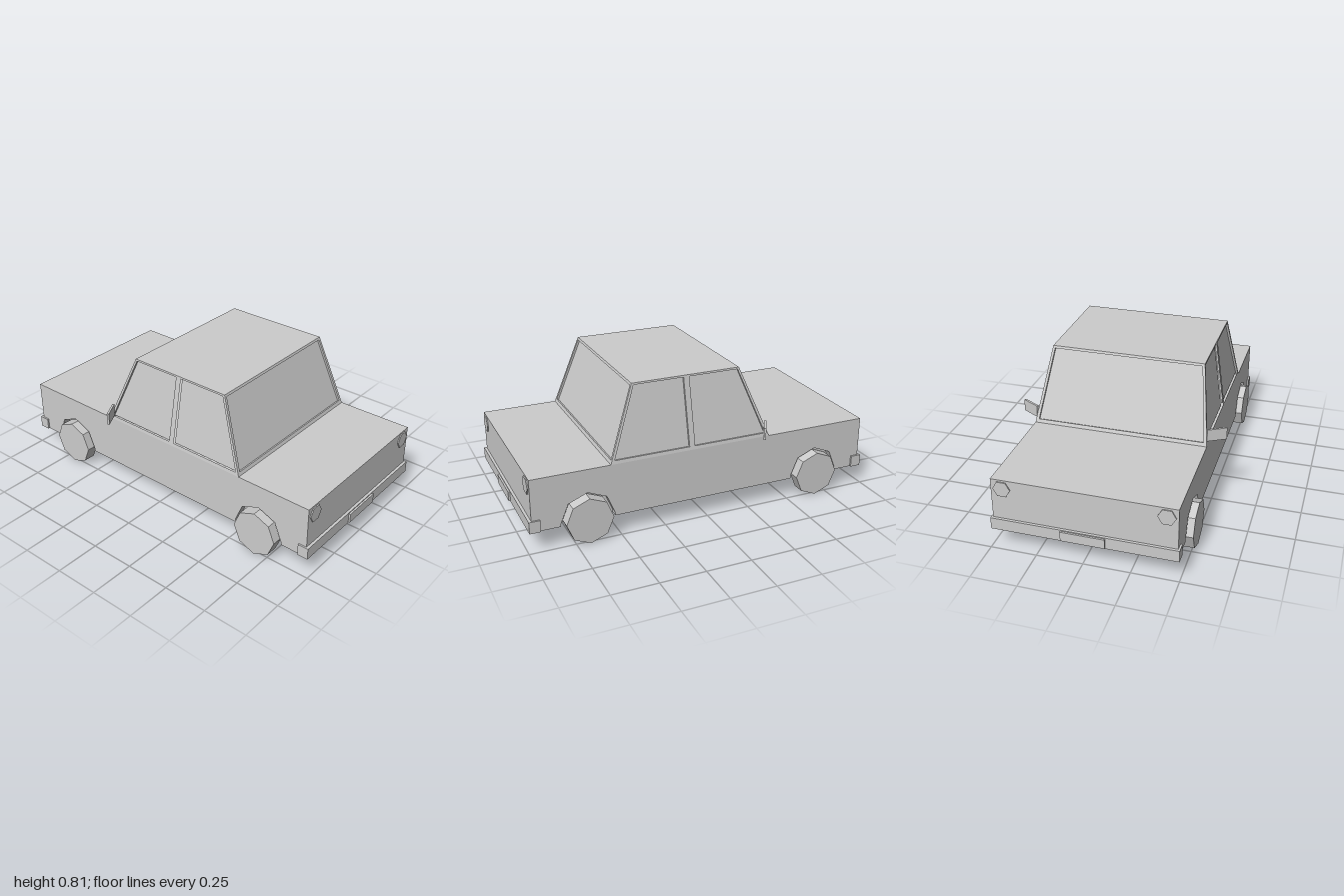
import * as THREE from 'three';

const paint = new THREE.MeshStandardMaterial({ color: 0xcccccc });
paint.name = 'plainGrey';

const V3 = (x, y, z) => new THREE.Vector3(x, y, z);

function add(parent, name, geometry, x = 0, y = 0, z = 0) {
  const mesh = new THREE.Mesh(geometry, paint);
  mesh.name = name;
  mesh.position.set(x, y, z);
  parent.add(mesh);
  return mesh;
}

const box = (w, h, d) => new THREE.BoxGeometry(w, h, d);
const outline = (pts) => pts.map(([u, v]) => new THREE.Vector2(u, v));

// Plate whose outer face lies on the plane through origin, facing normal.
function plate(pts, holes, depth, origin, normal, inset = 0) {
  const n = normal.clone().normalize();
  const u = V3(0, 1, 0).cross(n).normalize();
  const v = n.clone().cross(u);
  const shape = new THREE.Shape(outline(pts));
  holes.forEach((h) => shape.holes.push(new THREE.Path(outline(h))));
  const geometry = new THREE.ExtrudeGeometry(shape, { depth, bevelEnabled: false });
  geometry.translate(0, 0, -depth - inset);
  return geometry.applyMatrix4(new THREE.Matrix4().makeBasis(u, v, n).setPosition(origin));
}

const BODY = { x: 0.485, z: 0.975, y0: 0.112, y1: 0.405 };
const CABIN = { y0: 0.405, y1: 0.806, x0: 0.485, x1: 0.425, front0: 0.545, front1: 0.403, back0: -0.375, back1: -0.208 };
const WHEEL_Z = 0.675, WHEEL_Y = 0.128, RECESS = 0.012;

function buildBody(car) {
  const h = BODY.y1 - BODY.y0, inner = 0.44;
  add(car, 'bodyCore', box(inner * 2, h, BODY.z * 2), 0, (BODY.y0 + BODY.y1) / 2, 0);
  // Flanks with angular wheel arches
  const pts = [[-BODY.z, BODY.y0]];
  for (const c of [-WHEEL_Z, WHEEL_Z]) {
    pts.push([c - 0.147, BODY.y0]);
    for (let i = 0; i <= 4; i++) {
      const a = Math.PI - (i * Math.PI) / 4;
      pts.push([c + 0.147 * Math.cos(a), WHEEL_Y + 0.147 * Math.sin(a)]);
    }
    pts.push([c + 0.147, BODY.y0]);
  }
  pts.push([BODY.z, BODY.y0], [BODY.z, BODY.y1], [-BODY.z, BODY.y1]);
  for (const s of [1, -1]) {
    add(car, s > 0 ? 'leftFlank' : 'rightFlank', plate(pts, [], BODY.x - inner, V3(s * BODY.x, 0, 0), V3(s, 0, 0)));
  }
}

// One sloping cabin wall: a frame with recessed glass
function cabinWall(car, name, pts, windows, origin, normal) {
  const slant = 1 / Math.sqrt(1 - normal.clone().normalize().y ** 2);
  const fit = (list) => list.map(([u, y]) => [u, (y - CABIN.y0) * slant]);
  const panes = windows.map(fit);
  add(car, name + 'Frame', plate(fit(pts), panes, RECESS, origin, normal));
  panes.forEach((p) => add(car, name + 'Window', plate(p, [], 0.005, origin, normal, RECESS)));
}

function buildCabin(car) {
  const c = CABIN, h = c.y1 - c.y0;
  // End walls
  const end = [[-c.x0, c.y0], [c.x0, c.y0], [c.x1, c.y1], [-c.x1, c.y1]];
  const endPane = [[-0.466, 0.424], [0.466, 0.424], [0.413, 0.793], [-0.413, 0.793]];
  cabinWall(car, 'front', end, [endPane], V3(0, c.y0, c.front0), V3(0, c.front0 - c.front1, h));
  cabinWall(car, 'back', end, [endPane], V3(0, c.y0, c.back0), V3(0, c.back1 - c.back0, -h));
  // Side walls, each with two windows and a pillar
  const side = [[c.front0, c.y0], [c.back0, c.y0], [c.back1, c.y1], [c.front1, c.y1]];
  const panes = [
    [[0.523, 0.424], [0.102, 0.424], [0.114, 0.796], [0.392, 0.796]],
    [[0.07, 0.424], [-0.35, 0.424], [-0.2, 0.796], [0.082, 0.796]],
  ];
  for (const s of [1, -1]) {
    const flip = (list) => list.map(([z, y]) => [-s * z, y]);
    cabinWall(car, s > 0 ? 'leftSide' : 'rightSide', flip(side), panes.map(flip),
      V3(s * c.x0, c.y0, 0), V3(s * h, c.x0 - c.x1, 0));
  }
  add(car, 'roof', box(c.x1 * 2, 0.01, c.front1 - c.back1), 0, c.y1 - 0.005, (c.front1 + c.back1) / 2);
}

function buildEnds(car) {
  for (const s of [1, -1]) {
    const end = s > 0 ? 'front' : 'back';
    add(car, end + 'Bumper', box(0.99, 0.065, 0.06), 0, 0.1445, s * 0.96);
    add(car, end + 'Plate', box(0.234, 0.053, 0.012), 0, 0.145, s * 0.994);
    for (const x of [-0.426, 0.426]) {
      const lamp = new THREE.CylinderGeometry(0.047, 0.047, 0.02, 6).rotateY(Math.PI / 6).toNonIndexed();
      lamp.rotateX(Math.PI / 2);
      lamp.computeVertexNormals();
      // Corners point left and right
      lamp.rotateZ(Math.PI / 3);
      lamp.computeBoundingBox();
      if (lamp.boundingBox.max.x < 0.045) lamp.rotateZ(Math.PI / 6);
      add(car, end + 'Lamp', lamp, x, 0.354, s * 0.971);
    }
  }
}

function buildWheelsAndMirrors(car) {
  for (const s of [1, -1]) {
    for (const z of [-WHEEL_Z, WHEEL_Z]) {
      const wheel = new THREE.CylinderGeometry(0.128, 0.128, 0.07, 8).toNonIndexed();
      wheel.rotateZ(Math.PI / 2);
      wheel.computeVertexNormals();
      add(car, 'wheel', wheel, s * 0.485, WHEEL_Y, z);
    }
    const mirror = add(car, s > 0 ? 'leftMirror' : 'rightMirror', box(0.11, 0.068, 0.012), s * 0.526, 0.462, -0.324);
    mirror.rotation.y = -s * 0.51;
  }
}

export function createModel() {
  const car = new THREE.Group();
  car.name = 'car';
  buildBody(car);
  buildCabin(car);
  buildEnds(car);
  buildWheelsAndMirrors(car);
  return car;
}
